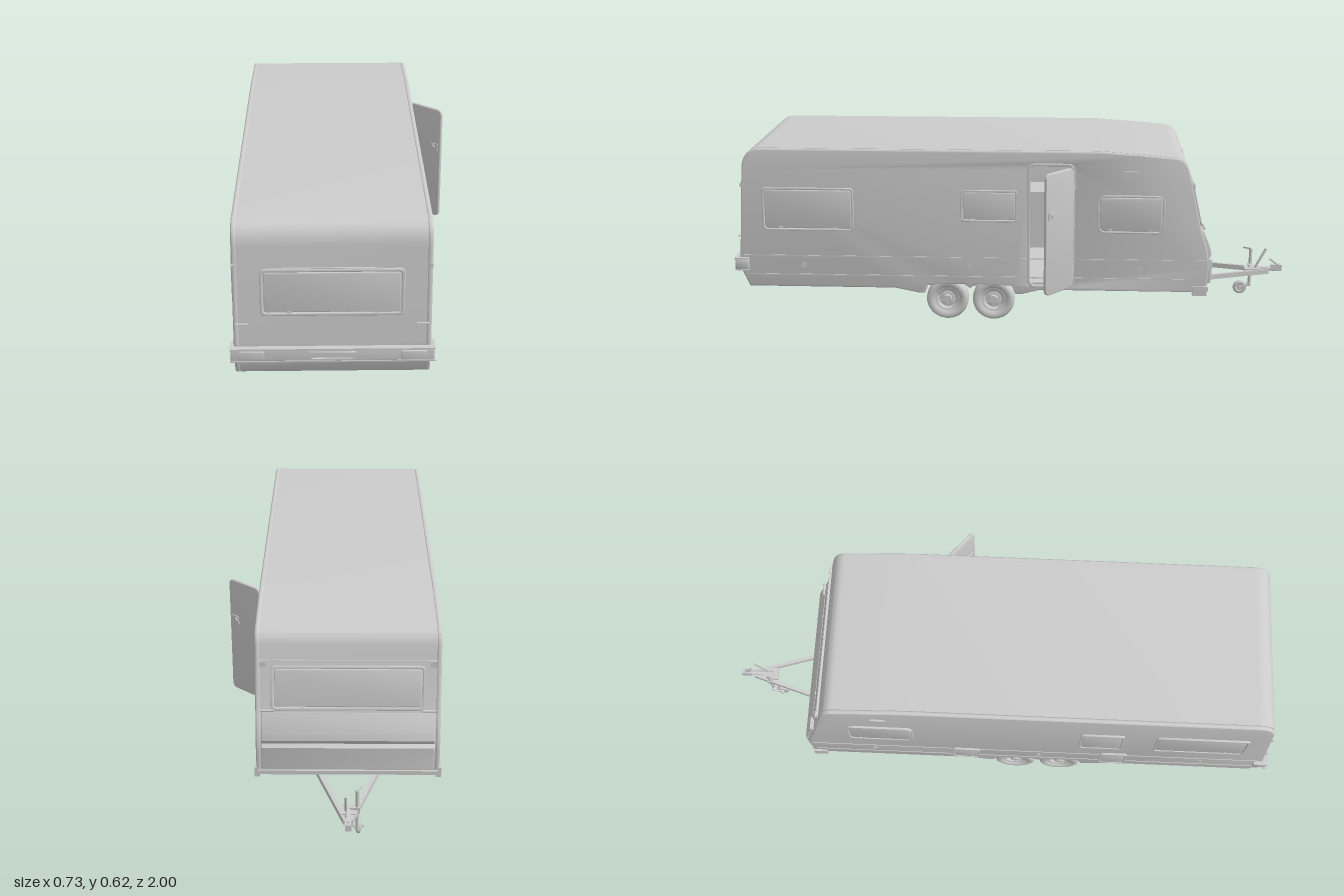
import * as THREE from 'three';
import { toCreasedNormals } from 'three/addons/utils/BufferGeometryUtils.js';

const MID = -0.054, HALF = 0.301; // body centre line and half width
const mat = new THREE.MeshStandardMaterial({ color: 0xcccccc, side: THREE.DoubleSide });

export function createModel() {
  const root = new THREE.Group();
  root.name = 'caravan';

  const add = (name, geo, x = 0, y = 0, z = 0, parent = root) => {
    const m = new THREE.Mesh(geo, mat);
    m.name = name;
    m.position.set(x, y, z);
    parent.add(m);
    return m;
  };
  const box = (name, w, h, d, x, y, z, parent) => add(name, new THREE.BoxGeometry(w, h, d), x, y, z, parent);
  const group = (name, x, y, z, parent = root) => {
    const g = new THREE.Group();
    g.name = name;
    g.position.set(x, y, z);
    parent.add(g);
    return g;
  };
  const cyl = (name, r, len, x, y, z, axis, parent) => {
    const g = new THREE.CylinderGeometry(r, r, len, 24);
    if (axis === 'x') g.rotateZ(Math.PI / 2);
    if (axis === 'z') g.rotateX(Math.PI / 2);
    return add(name, g, x, y, z, parent);
  };
  const beam = (name, a, b, w, h) => {
    const p = new THREE.Vector3(...a), q = new THREE.Vector3(...b);
    const m = box(name, w, h, p.distanceTo(q), 0, 0, 0);
    m.position.copy(p).lerp(q, 0.5);
    m.lookAt(q);
    return m;
  };
  const rounded = (w, h, r, target = new THREE.Shape(), cx = 0, cy = 0) => {
    const x = w / 2, y = h / 2;
    target.absarc(cx + x - r, cy + y - r, r, 0, Math.PI / 2);
    target.absarc(cx - x + r, cy + y - r, r, Math.PI / 2, Math.PI);
    target.absarc(cx - x + r, cy - y + r, r, Math.PI, Math.PI * 1.5);
    target.absarc(cx + x - r, cy - y + r, r, Math.PI * 1.5, Math.PI * 2);
    target.closePath();
    return target;
  };
  const extrude = (shape, depth, bevel = 0) => toCreasedNormals(new THREE.ExtrudeGeometry(shape, {
    depth: depth - 2 * bevel, curveSegments: 10, bevelEnabled: bevel > 0, bevelSize: bevel,
    bevelThickness: bevel, bevelOffset: -bevel, bevelSegments: 3 }).translate(0, 0, bevel), 0.6);
  const sideways = g => g.rotateY(-Math.PI / 2); // shape x becomes z, depth runs to -x

  // Framed panel facing its own +z: raised rim, pane and catches
  const panel = (name, w, h, r, parent, rim = 0.009) => {
    const frame = rounded(w, h, r);
    frame.holes.push(rounded(w - 2 * rim, h - 2 * rim, r * 0.7, new THREE.Path()));
    add(name + 'Frame', extrude(frame, 0.008, 0.002), 0, 0, 0, parent);
    add(name + 'Pane', extrude(rounded(w - 2 * rim - 0.004, h - 2 * rim - 0.004, r * 0.6), 0.006, 0.002), 0, 0, 0, parent);
    for (const s of [-1, 1]) box(name + 'Catch', 0.016, 0.005, 0.005, s * w * 0.3, -h / 2 + 0.012, 0.006, parent);
  };

  // Body outline in (z, y), with wheel openings along the bottom edge
  const outline = () => {
    const s = new THREE.Shape();
    s.moveTo(0.945, 0.118);
    s.lineTo(0.977, 0.19);
    s.lineTo(0.974, 0.24);
    s.lineTo(0.953, 0.55);
    s.quadraticCurveTo(0.948, 0.624, 0.885, 0.625);
    s.lineTo(-0.3, 0.625);
    s.quadraticCurveTo(-0.44, 0.617, -0.57, 0.604);
    s.quadraticCurveTo(-0.608, 0.6, -0.618, 0.55);
    s.lineTo(-0.632, 0.49);
    s.lineTo(-0.665, 0.345);
    s.quadraticCurveTo(-0.695, 0.27, -0.695, 0.21);
    s.lineTo(-0.688, 0.118);
    for (const [z, y] of [[-0.1, 0.118], [-0.03, 0.1], [-0.012, 0.1], [0.0, 0.132], [0.13, 0.136], [0.15, 0.12],
      [0.17, 0.136], [0.3, 0.132], [0.312, 0.1], [0.33, 0.1], [0.42, 0.118]]) s.lineTo(z, y);
    s.closePath();
    return s;
  };
  const shell = outline();
  shell.holes.push(new THREE.Path([[0.935, 0.142], [0.955, 0.2], [0.935, 0.55], [0.88, 0.608], [-0.3, 0.608],
    [-0.57, 0.588], [-0.602, 0.54], [-0.645, 0.35], [-0.67, 0.21], [-0.668, 0.142]].map(p => new THREE.Vector2(...p))));
  add('roofAndEndShell', sideways(extrude(shell, 2 * HALF - 0.03)), MID + HALF - 0.015);
  const doorWall = outline();
  doorWall.holes.push(rounded(0.152, 0.44, 0.02, new THREE.Path(), -0.138, 0.355));
  add('leftWall', sideways(extrude(doorWall, 0.016, 0.005)), MID + HALF);
  add('rightWall', sideways(extrude(outline(), 0.016, 0.005)), MID - HALF + 0.016);
  box('floorPan', 0.475, 0.03, 0.34, MID, 0.13, 0.15);

  // Door opening trim, open door and entry step
  const trim = rounded(0.166, 0.454, 0.025);
  trim.holes.push(rounded(0.148, 0.436, 0.018, new THREE.Path()));
  add('doorTrim', sideways(extrude(trim, 0.01, 0.002)), MID + HALF + 0.004, 0.355, -0.138);
  const door = group('door', 0.252, 0.353, -0.213);
  door.rotation.y = -0.7;
  add('doorLeaf', extrude(rounded(0.146, 0.435, 0.02), 0.012, 0.003), 0.073, 0, -0.006, door);
  for (const s of [-1, 1]) {
    box('doorLock', 0.032, 0.028, 0.006, 0.118, 0.067, s * 0.007, door);
    cyl('doorKnob', 0.009, 0.008, 0.115, 0.067, s * 0.011, 'z', door);
    cyl('doorHinge', 0.005, 0.03, 0, s * 0.15, 0, 'y', door);
  }

  // Interior seen through the doorway
  const inside = group('interior', MID, 0, 0);
  box('partition', 0.25, 0.455, 0.008, -0.15, 0.37, 0.02, inside);
  box('cabinet', 0.14, 0.22, 0.34, -0.21, 0.25, -0.18, inside);
  box('worktop', 0.16, 0.01, 0.36, -0.2, 0.365, -0.18, inside);
  box('overheadLocker', 0.1, 0.09, 0.36, -0.23, 0.54, -0.18, inside);
  box('seat', 0.5, 0.1, 0.2, 0, 0.19, -0.55, inside);
  for (const y of [0.25, 0.38, 0.5]) box('shelf', 0.16, 0.008, 0.1, 0.19, y, 0.0, inside);

  // Side windows, hatches, vents, markers and trim strips
  const sidePanels = {
    1: [['rearWindow', 0.722, 0.408, 0.325, 0.156], ['middleWindow', 0.08, 0.427, 0.2, 0.115], ['frontWindow', -0.418, 0.402, 0.235, 0.138]],
    '-1': [['rearWindow', 0.722, 0.408, 0.325, 0.156], ['middleWindow', 0.37, 0.408, 0.155, 0.156], ['frontWindow', -0.418, 0.402, 0.235, 0.138],
      ['frontHatch', -0.115, 0.195, 0.1, 0.1], ['rearHatch', 0.425, 0.2, 0.1, 0.115]],
  };
  for (const s of [1, -1]) {
    const wallX = MID + s * HALF;
    for (const [name, z, y, w, h] of sidePanels[s]) {
      const g = group(name, wallX - s * 0.001, y, z);
      g.rotation.y = s * Math.PI / 2;
      panel(name, w, h, name === 'frontWindow' ? 0.028 : 0.012, g, 0.007);
    }
    for (const z of [0.745, 0.15, -0.455]) cyl('sideMarker', 0.009, 0.006, wallX, 0.2, z, 'x');
    box('sideVent', 0.012, 0.024, 0.052, wallX, 0.545, -0.415);
    box('upperTrimStrip', 0.004, 0.004, 1.64, wallX, 0.235, 0.14);
    box('lowerTrimStrip', 0.004, 0.004, 1.63, wallX, 0.165, 0.14);
    box('cornerFoot', 0.018, 0.035, 0.05, wallX - s * 0.002, 0.125, -0.665);
  }

  // Rear end: window, bumper, lamps, plate holder and grab handles
  const rear = group('rearWindow', MID, 0.407, 0.9625);
  rear.rotation.x = -0.066;
  panel('rearWindow', 0.436, 0.154, 0.014, rear, 0.01);
  box('rearWindowRail', 0.3, 0.005, 0.008, 0, 0.077, 0.002, rear);
  add('rearBumper', extrude(rounded(0.622, 0.042, 0.006), 0.05, 0.004), MID, 0.203, 0.942);
  for (const y of [0.182, 0.224]) box('bumperLip', 0.626, 0.004, 0.052, MID, y, 0.968);
  const plate = rounded(0.142, 0.026, 0.002);
  plate.holes.push(rounded(0.126, 0.018, 0.002, new THREE.Path()));
  add('plateHolder', extrude(plate, 0.008), MID, 0.203, 0.99);
  for (const s of [1, -1]) {
    add('tailLamp', extrude(rounded(0.078, 0.03, 0.004), 0.008, 0.002), MID + s * 0.247, 0.203, 0.989);
    cyl('rearHandle', 0.003, 0.042, MID + s * 0.274, 0.303, 0.976, 'x');
    box('topMarker', 0.008, 0.014, 0.012, MID + s * 0.297, 0.492, 0.956);
  }

  // Towing end: tilted window, locker lid and grab handles
  const front = group('towEndWindow', MID, 0.42, -0.648);
  front.rotation.set(-0.223, Math.PI, 0, 'YXZ');
  panel('towEndWindow', 0.5, 0.15, 0.014, front, 0.01);
  box('towEndRail', 0.56, 0.006, 0.01, 0, 0.09, 0.002, front);
  const lid = new THREE.Shape();
  lid.moveTo(-0.655, 0.335);
  lid.lineTo(-0.673, 0.34);
  lid.quadraticCurveTo(-0.7, 0.29, -0.706, 0.255);
  lid.lineTo(-0.698, 0.24);
  lid.lineTo(-0.71, 0.23);
  lid.lineTo(-0.706, 0.15);
  lid.lineTo(-0.68, 0.14);
  lid.closePath();
  add('gasLockerLid', sideways(extrude(lid, 0.565, 0.004)), MID + 0.2825);
  box('lowerFrontRail', 0.59, 0.014, 0.03, MID, 0.128, -0.682);
  for (const s of [1, -1]) {
    cyl('towEndHandle', 0.004, 0.045, MID + s * 0.262, 0.35, -0.676, 'x');
    box('frontMarker', 0.02, 0.02, 0.014, MID + s * 0.275, 0.5, -0.632);
  }

  // Chassis rails, converging drawbar and cross members
  for (const s of [1, -1]) {
    const x = MID + s * 0.16;
    beam('chassisRail', [x, 0.108, 0.82], [x, 0.108, -0.1], 0.012, 0.026);
    beam('taperedRail', [x, 0.107, -0.1], [x, 0.1, -0.46], 0.012, 0.024);
    beam('drawbar', [x, 0.1, -0.46], [MID + s * 0.008, 0.107, -0.95], 0.012, 0.018);
    beam('wheelOutrigger', [x, 0.1, 0.4], [x, 0.1, -0.1], 0.014, 0.03);
    beam('cornerSteady', [MID + s * 0.22, 0.11, 0.88], [MID + s * 0.2, 0.107, 0.65], 0.012, 0.01);
  }
  for (const z of [0.8, 0.58, 0.38, -0.12, -0.32]) box('crossMember', 0.32, 0.014, 0.014, MID, 0.112, z);

  // Twin axles and wheels
  const tyre = [[0.044, -0.019], [0.052, -0.025], [0.063, -0.027], [0.071, -0.023], [0.075, -0.013], [0.0755, 0],
    [0.075, 0.013], [0.071, 0.023], [0.063, 0.027], [0.052, 0.025], [0.044, 0.019]].map(p => new THREE.Vector2(...p));
  const rim = [[0, 0.021], [0.014, 0.021], [0.016, 0.012], [0.03, 0.01], [0.036, 0.018], [0.044, 0.02], [0.045, -0.019], [0, -0.015]]
    .map(p => new THREE.Vector2(...p));
  for (const z of [0.233, 0.067]) {
    cyl('axle', 0.008, 0.52, MID, 0.077, z, 'x');
    for (const s of [1, -1]) {
      const w = group('wheel', MID + s * 0.27, 0.0755, z);
      w.rotation.z = -s * Math.PI / 2;
      add('tyre', new THREE.LatheGeometry(tyre, 40), 0, 0, 0, w);
      add('rim', toCreasedNormals(new THREE.LatheGeometry(rim, 32), 0.5), 0, 0, 0, w);
      for (let i = 0; i < 5; i++) {
        const a = i * Math.PI * 0.4;
        cyl('wheelNut', 0.003, 0.006, Math.cos(a) * 0.023, 0.013, Math.sin(a) * 0.023, 'y', w);
      }
      beam('trailingArm', [MID + s * 0.225, 0.077, z], [MID + s * 0.225, 0.105, z - 0.06], 0.012, 0.014);
    }
  }

  // Coupling head, handbrake and jockey wheel
  cyl('couplingTube', 0.009, 0.1, MID, 0.115, -0.93, 'z');
  box('couplingHead', 0.02, 0.022, 0.04, MID, 0.12, -0.98);
  beam('couplingLever', [MID, 0.13, -0.985], [MID, 0.152, -0.955], 0.01, 0.006);
  beam('handbrakeLever', [MID + 0.008, 0.12, -0.9], [MID + 0.008, 0.195, -0.938], 0.006, 0.008);
  box('drawbarPlate', 0.045, 0.012, 0.06, MID, 0.112, -0.89);
  cyl('jockeyPost', 0.006, 0.15, -0.084, 0.11, -0.887, 'y');
  box('jockeyClamp', 0.035, 0.02, 0.018, -0.075, 0.115, -0.887);
  beam('jockeyCrank', [-0.084, 0.183, -0.887], [-0.1, 0.183, -0.86], 0.005, 0.005);
  beam('jockeyFork', [-0.086, 0.045, -0.89], [-0.086, 0.03, -0.852], 0.026, 0.006);
  add('jockeyWheel', new THREE.TorusGeometry(0.018, 0.008, 12, 28).rotateY(Math.PI / 2), -0.088, 0.029, -0.852);
  cyl('jockeyHub', 0.013, 0.01, -0.088, 0.029, -0.852, 'x');
  cyl('jockeyAxle', 0.004, 0.036, -0.088, 0.029, -0.852, 'x');
  return root;
}
